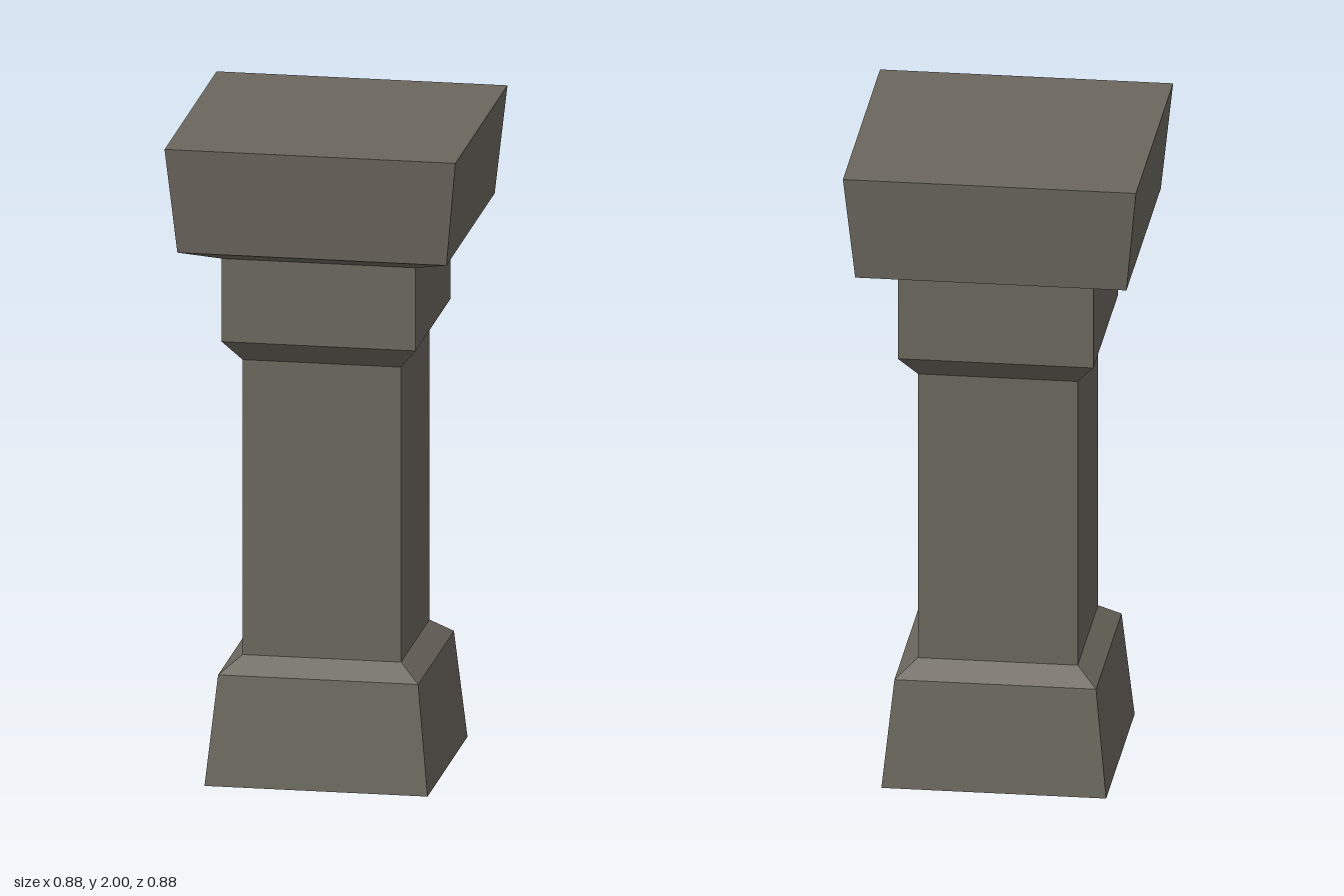
import * as THREE from 'three';

export function createModel() {
  const group = new THREE.Group();
  group.name = 'pillar';

  const stone = new THREE.MeshStandardMaterial({
    color: 0x6b675e, flatShading: true, side: THREE.DoubleSide,
  });
  stone.name = 'grey stone';

  // Open four-sided band between two heights, given half widths
  function band(name, y0, half0, y1, half1) {
    const geometry = new THREE.CylinderGeometry(
      half1 * Math.SQRT2, half0 * Math.SQRT2, y1 - y0, 4, 1, true);
    geometry.rotateY(Math.PI / 4);
    geometry.translate(0, (y0 + y1) / 2, 0);
    const mesh = new THREE.Mesh(geometry, stone);
    mesh.name = name;
    group.add(mesh);
  }

  // Hollow pillar, open underneath
  band('base', 0, 0.339, 0.337, 0.304);
  band('baseBevel', 0.337, 0.304, 0.386, 0.241);
  band('shaft', 0.386, 0.241, 1.302, 0.241);
  band('neckBevel', 1.302, 0.241, 1.37, 0.295);
  band('neck', 1.37, 0.295, 1.628, 0.295);
  band('capitalBevel', 1.628, 0.295, 1.672, 0.409);
  band('capital', 1.672, 0.409, 2, 0.442);

  // Flat top slab face
  const top = new THREE.Mesh(new THREE.PlaneGeometry(0.884, 0.884), stone);
  top.name = 'capitalTop';
  top.rotation.x = -Math.PI / 2;
  top.position.y = 2;
  group.add(top);

  return group;
}
